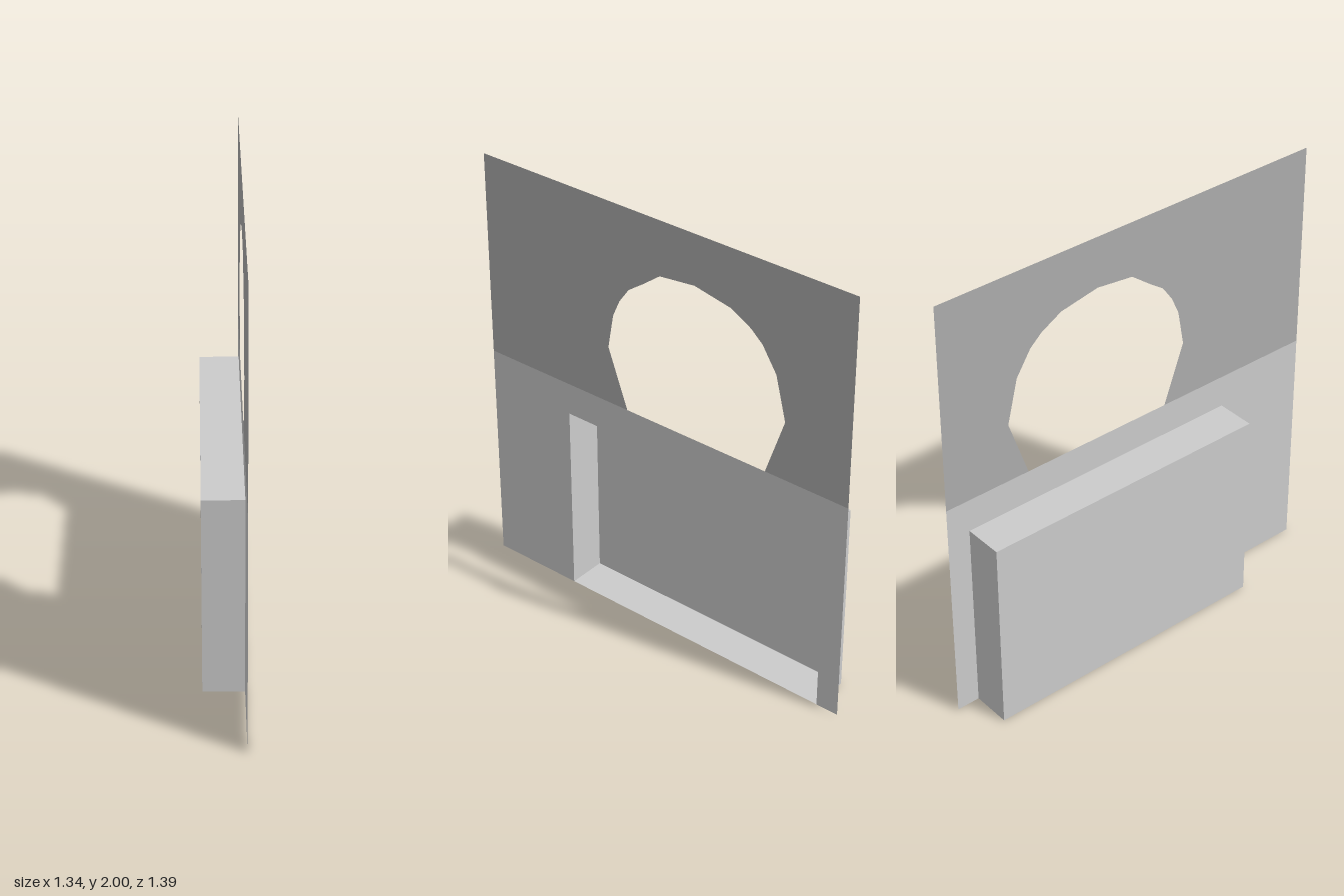
import * as THREE from 'three';

const S = Math.SQRT2; // parts are laid out along x, then turned 45 degrees
const HALF = 0.67 * S, SEAM = 1.05, TOP = 2;
const LEFT = -0.362 * S, RIGHT = 0.595 * S, RECESS_TOP = 0.9, DEPTH = 0.177;

function outline(points) {
  return new THREE.Shape(points.map(([x, y]) => new THREE.Vector2(x, y)));
}

function addMesh(group, name, geometry, color) {
  const material = new THREE.MeshStandardMaterial({ color, side: THREE.DoubleSide, flatShading: true });
  const mesh = new THREE.Mesh(geometry, material);
  mesh.name = name;
  group.add(mesh);
  return mesh;
}

export function createModel() {
  const wall = new THREE.Group();
  wall.name = 'wall';

  // Lower panel, notched around the recess opening
  const lower = outline([
    [-HALF, 0], [LEFT, 0], [LEFT, RECESS_TOP], [RIGHT, RECESS_TOP],
    [RIGHT, 0], [HALF, 0], [HALF, SEAM], [-HALF, SEAM],
  ]);
  addMesh(wall, 'lowerPanel', new THREE.ShapeGeometry(lower), 0xcccccc);

  // Upper panel with the faceted arch opening cut up from its lower edge
  const arch = [
    [-0.13, 1.05], [-0.20, 1.32], [-0.18, 1.48], [-0.155, 1.56], [-0.12, 1.63],
    [-0.07, 1.68], [-0.005, 1.75], [0.12, 1.77], [0.25, 1.735], [0.32, 1.68],
    [0.36, 1.63], [0.41, 1.52], [0.445, 1.32], [0.38, 1.05],
  ].map(([x, y]) => [x * S, y]);
  const upper = outline([[-HALF, SEAM], ...arch, [HALF, SEAM], [HALF, TOP], [-HALF, TOP]]);
  addMesh(wall, 'upperPanel', new THREE.ShapeGeometry(upper), 0xadadad);

  // Recess behind the lower panel: a thin box without its front face
  const box = new THREE.BoxGeometry(RIGHT - LEFT, RECESS_TOP, DEPTH);
  const index = Array.from(box.index.array);
  index.splice(24, 6); // the +z face
  box.setIndex(index);
  box.clearGroups();
  const recess = addMesh(wall, 'recess', box, 0xcccccc);
  recess.position.set((LEFT + RIGHT) / 2, RECESS_TOP / 2, -DEPTH / 2);

  wall.rotation.y = Math.PI / 4;
  wall.position.z = 0.027;

  const model = new THREE.Group();
  model.name = 'wallPanel';
  model.add(wall);
  return model;
}
